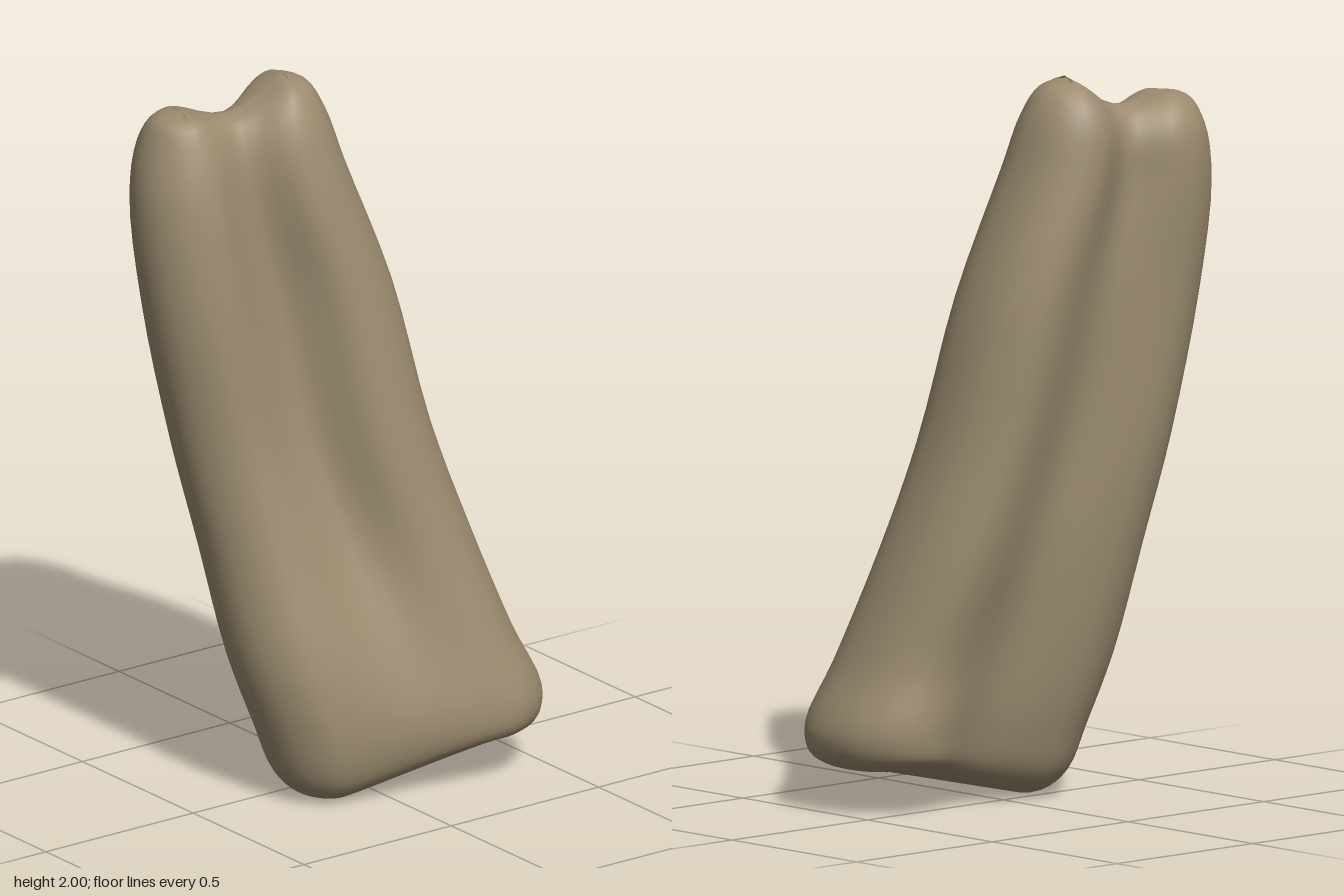
import * as THREE from 'three';
import { mergeVertices } from 'three/addons/utils/BufferGeometryUtils.js';

// Levels from top to bottom, each a two-lobed cross-section:
// front y, back y, front x, z, radius, back x, z, radius,
// half waist on +x and -x sides, extra bulge of the back lobe towards -x
const LEVELS = [
  [1.94, 2.00, -0.22, 0.37, 0, -0.17, 0.08, 0, 0, 0, 0],
  [1.925, 1.975, -0.22, 0.37, 0.08, -0.17, 0.085, 0.08, 0.05, 0.05, 0.005],
  [1.85, 1.90, -0.225, 0.36, 0.13, -0.165, 0.09, 0.13, 0.085, 0.085, 0.02],
  [1.70, 1.75, -0.21, 0.365, 0.155, -0.145, 0.07, 0.155, 0.09, 0.105, 0.03],
  [1.40, 1.40, -0.175, 0.34, 0.165, -0.09, -0.03, 0.17, 0.08, 0.135, 0.04],
  [1.00, 1.00, -0.13, 0.27, 0.17, -0.02, -0.10, 0.175, 0.09, 0.14, 0.05],
  [0.70, 0.70, -0.065, 0.205, 0.185, 0.04, -0.18, 0.18, 0.12, 0.16, 0.05],
  [0.40, 0.40, 0.015, 0.145, 0.205, 0.12, -0.265, 0.185, 0.17, 0.175, 0.05],
  [0.20, 0.23, 0.06, 0.10, 0.195, 0.15, -0.315, 0.205, 0.19, 0.17, 0.05],
  [0.07, 0.155, 0.075, 0.09, 0.16, 0.155, -0.315, 0.19, 0.165, 0.145, 0.05],
  [0.015, 0.12, 0.085, 0.10, 0.095, 0.16, -0.32, 0.13, 0.11, 0.095, 0.03],
  [0.005, 0.10, 0.09, 0.10, 0, 0.16, -0.32, 0, 0, 0, 0],
];
const AROUND = 64;
const ROWS = 44;

// One closed ring: front lobe, waist, back lobe, waist
function ring([yF, yB, fx, fz, fr, bx, bz, br, wPlus, wMinus, bulge]) {
  const front = new THREE.Vector2(fx, fz);
  const back = new THREE.Vector2(bx, bz);
  const span = front.distanceTo(back);
  const axis = front.clone().sub(back).normalize();
  const side = new THREE.Vector2(axis.y, -axis.x); // towards +x
  const dip = 0.055 * THREE.MathUtils.smoothstep(yF, 1.65, 1.94);

  const place = (c, along, across) => {
    const p = c.clone().addScaledVector(axis, along).addScaledVector(side, across);
    const t = THREE.MathUtils.clamp(p.clone().sub(back).dot(axis) / span, 0, 1);
    const y = yB + (yF - yB) * t - dip * (4 * t * (1 - t)) ** 2;
    return new THREE.Vector3(p.x, y, p.y);
  };
  const mid = front.clone().lerp(back, 0.5);
  const points = [];
  const lobe = (c, r, start, extra) => {
    for (let k = 0; k < 7; k++) {
      const a = start + THREE.MathUtils.degToRad(-102 + 34 * k);
      const s = Math.sin(a);
      points.push(place(c, r * Math.cos(a), s * (s < 0 ? r + extra : r)));
    }
  };
  lobe(front, fr, 0, 0);
  points.push(place(mid, 0, wPlus));
  lobe(back, br, Math.PI, bulge);
  points.push(place(mid, 0, -wMinus));

  const curve = new THREE.CatmullRomCurve3(points, true, 'catmullrom', 0.5);
  return Array.from({ length: AROUND }, (_, j) => curve.getPoint(j / AROUND));
}

// Skin the rings with smooth curves running down the body
function bodyGeometry() {
  const rings = LEVELS.map(ring);
  const position = new Float32Array((ROWS + 1) * AROUND * 3);
  for (let j = 0; j < AROUND; j++) {
    const line = new THREE.CatmullRomCurve3(rings.map((r) => r[j]), false, 'centripetal');
    for (let i = 0; i <= ROWS; i++) {
      const p = line.getPoint(i / ROWS);
      p.y = Math.max(p.y, 0);
      p.toArray(position, (i * AROUND + j) * 3);
    }
  }
  const index = [];
  for (let i = 0; i < ROWS; i++) {
    for (let j = 0; j < AROUND; j++) {
      const a = i * AROUND + j;
      const b = i * AROUND + ((j + 1) % AROUND);
      index.push(a, a + AROUND, b, b, a + AROUND, b + AROUND);
    }
  }
  let geometry = new THREE.BufferGeometry();
  geometry.setAttribute('position', new THREE.BufferAttribute(position, 3));
  geometry.setIndex(index);
  geometry = mergeVertices(geometry, 1e-4); // closes the end ridges
  geometry.computeVertexNormals();
  return geometry;
}

export function createModel() {
  const stone = new THREE.MeshStandardMaterial({ color: 0x9c8c70 });
  stone.name = 'tan stone';

  const body = new THREE.Mesh(bodyGeometry(), stone);
  body.name = 'twinLobedColumn';

  const group = new THREE.Group();
  group.name = 'leaningRockColumn';
  group.add(body);
  return group;
}
